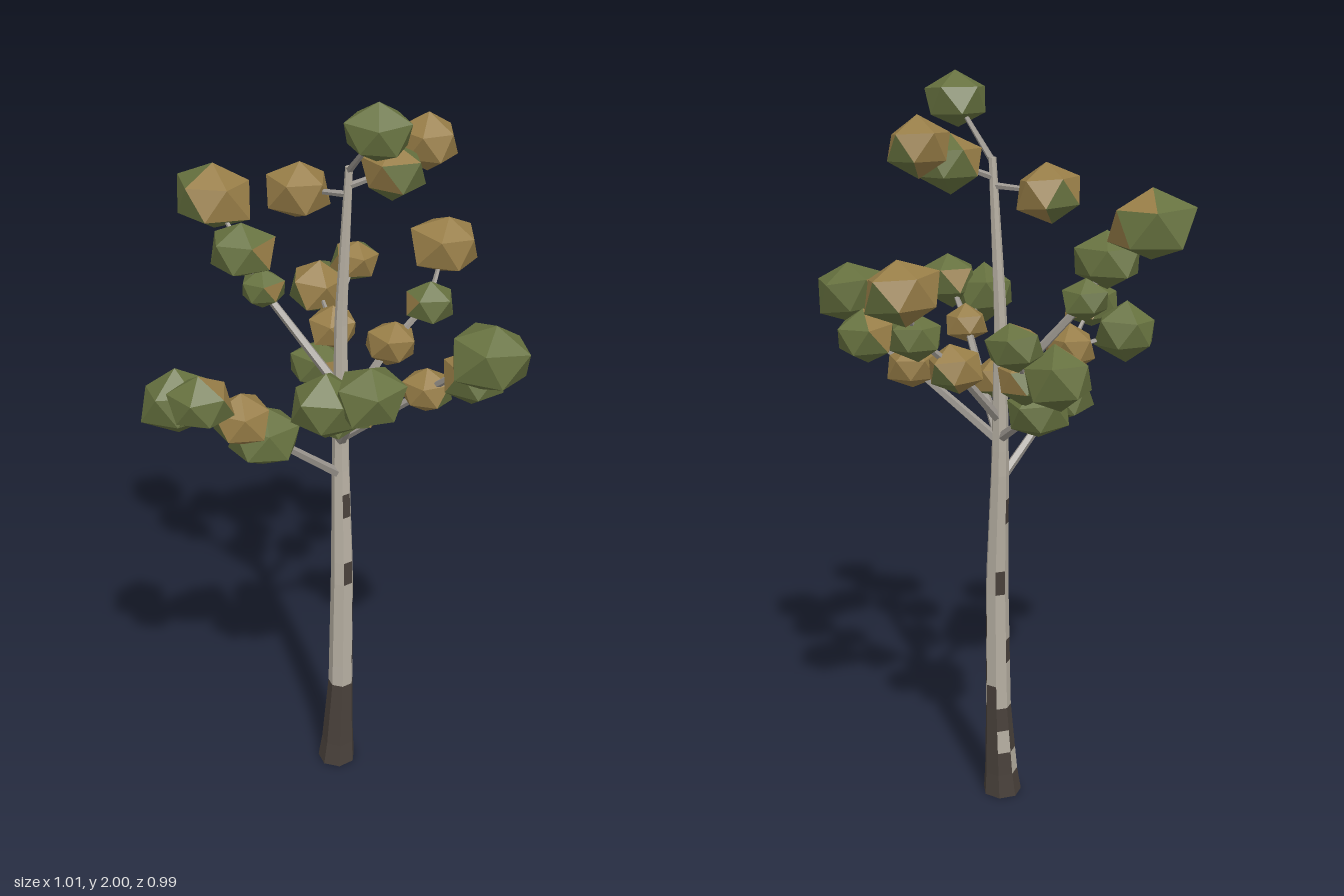
import * as THREE from 'three';

const material = (name, color) => {
  const m = new THREE.MeshStandardMaterial({ color, flatShading: true });
  m.name = name;
  return m;
};
const bark = material('pale bark', 0xb5aea1);
const darkBark = material('dark bark', 0x48403a);
const branchBark = material('branch bark', 0x9b968f);
const green = material('leaf green', 0x66713f);
const brown = material('leaf brown', 0x977d47);

// Trunk spine: x, y, z, radius
const SPINE = [
  [-0.02, 0, 0.005, 0.055], [-0.017, 0.06, 0.003, 0.048], [-0.01, 0.28, -0.005, 0.036],
  [-0.007, 0.65, -0.01, 0.032], [-0.018, 1, -0.032, 0.024], [-0.02, 1.4, -0.042, 0.017],
  [0, 1.8, -0.046, 0.01],
];

function spineAt(y) {
  let i = 0;
  while (i < SPINE.length - 2 && y > SPINE[i + 1][1]) i++;
  const a = SPINE[i], b = SPINE[i + 1], t = (y - a[1]) / (b[1] - a[1]);
  return a.map((v, k) => v + (b[k] - v) * t);
}

// Trunk from stacked rings; the foot and some single facets are dark
function buildTrunk() {
  const SIDES = 7, ROWS = 26, HEIGHT = 1.8;
  const darkFacets = new Set(['4,3', '5,2', '7,2', '9,1', '12,1', '12,5', '9,4', '6,5']);
  const paleFacets = new Set(['2,4', '1,5']);
  const geo = new THREE.BufferGeometry();
  const pos = [], index = [];
  for (let row = 0; row <= ROWS; row++) {
    const [x, y, z, r] = spineAt((HEIGHT * row) / ROWS);
    for (let s = 0; s < SIDES; s++) {
      const a = ((s - 0.5) / SIDES) * Math.PI * 2;
      pos.push(x + Math.sin(a) * r, y, z + Math.cos(a) * r);
    }
  }
  for (let row = 0; row < ROWS; row++) {
    for (let s = 0; s < SIDES; s++) {
      const a = row * SIDES + s, b = row * SIDES + (s + 1) % SIDES, c = a + SIDES, d = b + SIDES;
      const key = `${row},${s}`;
      const dark = (row < 4 && !paleFacets.has(key)) || darkFacets.has(key);
      geo.addGroup(index.length, 6, dark ? 1 : 0);
      index.push(a, b, d, a, d, c);
    }
  }
  // End caps
  const top = ROWS * SIDES;
  for (let s = 1; s < SIDES - 1; s++) {
    geo.addGroup(index.length, 3, 0);
    index.push(top, top + s, top + s + 1);
    geo.addGroup(index.length, 3, 1);
    index.push(0, s + 1, s);
  }
  geo.setAttribute('position', new THREE.Float32BufferAttribute(pos, 3));
  geo.setIndex(index);
  geo.computeVertexNormals();
  const mesh = new THREE.Mesh(geo, [bark, darkBark]);
  mesh.name = 'trunk';
  return mesh;
}

// Tapered five-sided stick between two points
function stick(from, to, r0, r1) {
  const dir = to.clone().sub(from);
  const mesh = new THREE.Mesh(new THREE.CylinderGeometry(r1, r0, dir.length(), 5), branchBark);
  mesh.position.copy(from).add(to).multiplyScalar(0.5);
  mesh.quaternion.setFromUnitVectors(new THREE.Vector3(0, 1, 0), dir.normalize());
  mesh.name = 'branch';
  return mesh;
}

// Faceted, uneven leaf clump; faces turned up and toward the trunk go brown
function leafClump({ at, radius, brownShare }) {
  const seed = at.x * 31 + at.y * 17 + at.z * 23;
  const geo = new THREE.IcosahedronGeometry(1, 0);
  geo.rotateZ(Math.atan(2 / (1 + Math.sqrt(5))));
  const p = geo.attributes.position, v = new THREE.Vector3();
  for (let i = 0; i < p.count; i++) {
    v.fromBufferAttribute(p, i);
    const h = Math.sin(Math.round(v.x * 50) * 1.3 + Math.round(v.y * 50) * 2.7 + Math.round(v.z * 50) * 4.1 + seed) * 437.5;
    v.multiplyScalar(0.95 + 0.22 * (h - Math.floor(h)));
    p.setXYZ(i, v.x, v.y, v.z);
  }
  geo.rotateX(Math.sin(seed) * 0.15);
  geo.rotateY(seed);
  geo.scale(radius, radius * 0.84, radius);
  geo.computeVertexNormals();
  const inward = new THREE.Vector3(-at.x, 0, -at.z).normalize().setY(0.5).normalize();
  geo.clearGroups();
  for (let i = 0; i < p.count; i += 3) {
    v.fromBufferAttribute(geo.attributes.normal, i);
    geo.addGroup(i, 3, v.dot(inward) > 1 - 2 * brownShare ? 1 : 0);
  }
  const mesh = new THREE.Mesh(geo, [green, brown]);
  mesh.position.copy(at);
  mesh.name = 'leafClump';
  return mesh;
}

// Clump descriptions by colour mix
const clumpKind = (brownShare) => (x, y, z, radius) => ({ at: new THREE.Vector3(x, y, z), radius, brownShare });
const leafy = clumpKind(0.06);
const mixed = clumpKind(0.35);
const autumn = clumpKind(0.85);

// Limb from the trunk through the stem clumps, then forking to the tip clumps
function limb(name, startY, stem, tips) {
  const group = new THREE.Group();
  group.name = name;
  const [x, y, z] = spineAt(startY);
  let from = new THREE.Vector3(x, y, z), r = startY < 1.5 ? 0.014 : 0.009;
  for (const clump of stem) {
    group.add(stick(from, clump.at, r, r * 0.75));
    from = clump.at;
    r *= 0.75;
  }
  for (const clump of tips) group.add(stick(from, clump.at, r, r * 0.6));
  for (const clump of [...stem, ...tips]) group.add(leafClump(clump));
  return group;
}

export function createModel() {
  const tree = new THREE.Group();
  tree.name = 'tree';
  tree.add(buildTrunk());

  // Lower limbs
  tree.add(limb('frontRightLimb', 0.95,
    [leafy(-0.16, 1.145, 0.17, 0.09), autumn(-0.175, 1.245, 0.28, 0.075)],
    [leafy(-0.33, 1.29, 0.315, 0.09), mixed(-0.225, 1.345, 0.42, 0.08)]));
  tree.add(limb('frontTwig', 1.05, [], [mixed(0, 1.2, 0.11, 0.073)]));
  tree.add(limb('frontLeftLimb', 1.05,
    [autumn(0.115, 1.31, 0.27, 0.06)],
    [leafy(0.08, 1.375, 0.4, 0.088), leafy(0.18, 1.41, 0.39, 0.085)]));
  tree.add(limb('leftLimb', 1.06,
    [autumn(0.22, 1.25, 0, 0.066)],
    [mixed(0.35, 1.32, 0.03, 0.083), leafy(0.4, 1.42, 0.12, 0.098)]));
  tree.add(limb('backRightLimb', 1.07,
    [leafy(-0.13, 1.19, -0.19, 0.083), autumn(-0.105, 1.285, -0.24, 0.072)],
    [mixed(-0.2, 1.33, -0.4, 0.09), mixed(-0.1, 1.41, -0.43, 0.07)]));

  // Middle limbs
  tree.add(limb('backLeftLimb', 1.12,
    [autumn(0.08, 1.29, -0.17, 0.072), leafy(0.16, 1.385, -0.25, 0.07)],
    [autumn(0.175, 1.515, -0.355, 0.095)]));
  tree.add(limb('rightLimb', 1.2,
    [leafy(-0.24, 1.45, -0.06, 0.062), leafy(-0.29, 1.55, -0.055, 0.083)],
    [mixed(-0.4, 1.655, -0.145, 0.105)]));

  // Crown
  tree.add(limb('upperRightLimb', 1.73, [], [autumn(-0.145, 1.72, -0.08, 0.083)]));
  tree.add(limb('crownFrontLimb', 1.79, [], [leafy(0.11, 1.925, 0.095, 0.08)]));
  tree.add(limb('crownBackLimb', 1.75,
    [mixed(0.1, 1.79, -0.08, 0.083)],
    [autumn(0.16, 1.835, -0.19, 0.08)]));
  return tree;
}
